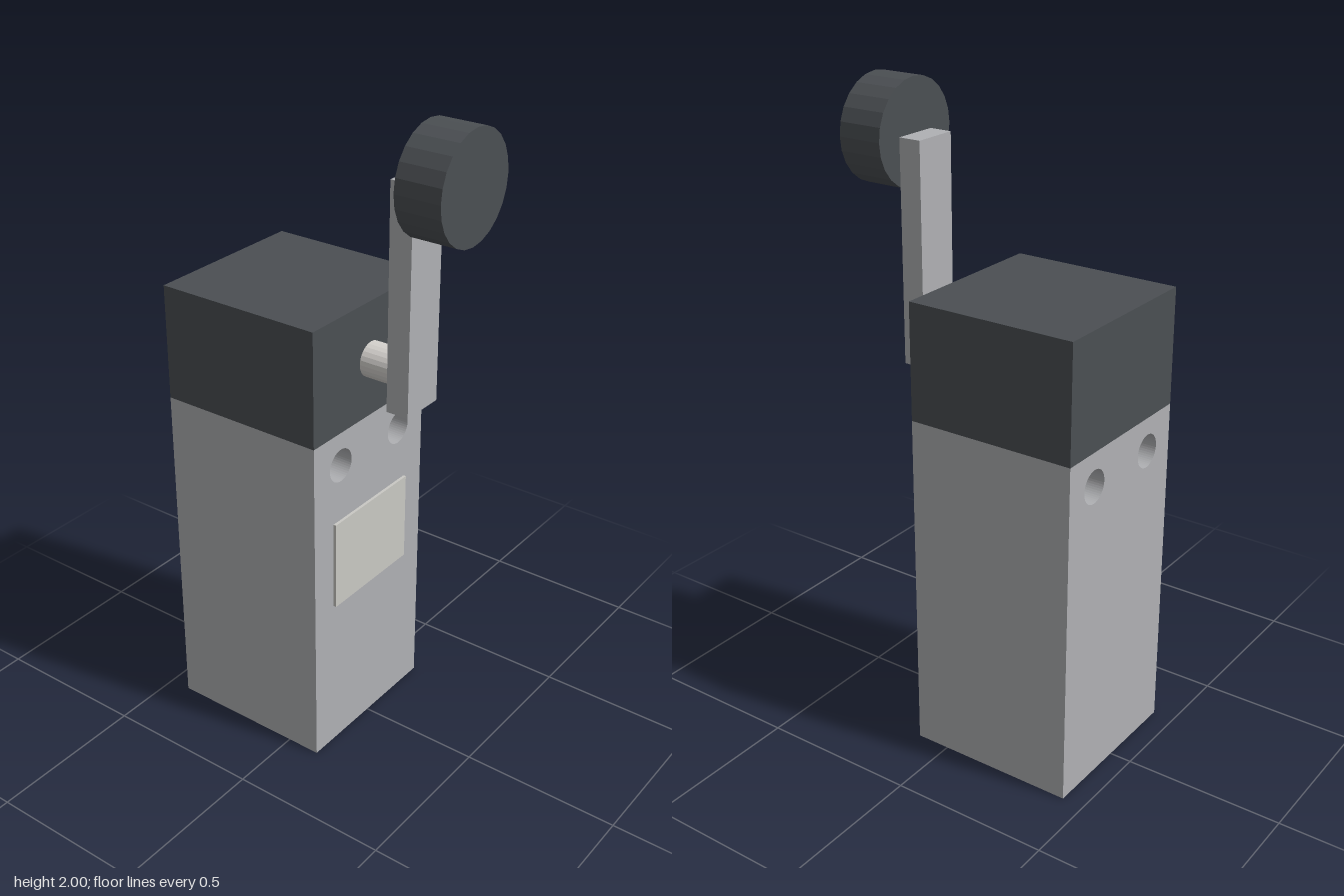
import * as THREE from 'three';

const makeMaterial = (name, color) => {
  const m = new THREE.MeshStandardMaterial({ color, flatShading: true });
  m.name = name;
  return m;
};

export function createModel() {
  const group = new THREE.Group();
  const grey = makeMaterial('housing grey', 0xb0b1b4);
  const dark = makeMaterial('dark plastic', 0x4b4f53);
  const plate = makeMaterial('plate beige grey', 0xcac9c4);
  const steel = makeMaterial('bright steel', 0xd6d3cf);

  const back = -0.43, front = 0.108, half = 0.269, midZ = (back + front) / 2;
  const bodyTop = 1.085, headTop = 1.445, boreDepth = 0.18;

  const add = (name, geometry, material) => {
    const mesh = new THREE.Mesh(geometry, material);
    mesh.name = name;
    group.add(mesh);
  };
  // Box given by its extents on each axis
  const box = (name, x, [y0, y1], [z0, z1], material) => {
    const g = new THREE.BoxGeometry(2 * x, y1 - y0, z1 - z0);
    add(name, g.translate(0, (y0 + y1) / 2, (z0 + z1) / 2), material);
  };
  // Cylinder lying along z
  const disc = (name, r, y, [z0, z1], material) => {
    const g = new THREE.CylinderGeometry(r, r, z1 - z0, 24).rotateX(Math.PI / 2);
    add(name, g.translate(0, y, (z0 + z1) / 2), material);
  };
  // Rectangle with round holes, extruded
  const drilled = (y0, y1, holes, depth) => {
    const s = new THREE.Shape([
      new THREE.Vector2(-half, y0), new THREE.Vector2(half, y0),
      new THREE.Vector2(half, y1), new THREE.Vector2(-half, y1),
    ]);
    for (const [x, y, r] of holes) {
      s.holes.push(new THREE.Path().absarc(x, y, r, 0, Math.PI * 2, true));
    }
    return new THREE.ExtrudeGeometry(s, { depth, bevelEnabled: false, curveSegments: 24 });
  };

  // Housing: lower block with the cable entry, upper block with mounting holes
  add('housingBase',
    drilled(-half, half, [[0, 0, 0.162]], boreDepth).rotateX(-Math.PI / 2).translate(0, 0, midZ), grey);
  add('housing',
    drilled(boreDepth, bodyTop, [-0.143, 0.143].map((x) => [x, 0.979, 0.052]), front - back)
      .translate(0, 0, back), grey);

  // Head and front plate
  box('head', half, [bodyTop, headTop], [back, front], dark);
  box('frontPlate', 0.179, [0.508, 0.796], [front, 0.117], plate);

  // Shaft, lever and roller
  disc('shaft', 0.054, 1.265, [front, 0.216], steel);
  box('lever', 0.072, [1.157, 1.839], [0.215, 0.287], grey);
  disc('roller', 0.161, 1.839, [0.287, 0.43], dark);

  return group;
}
